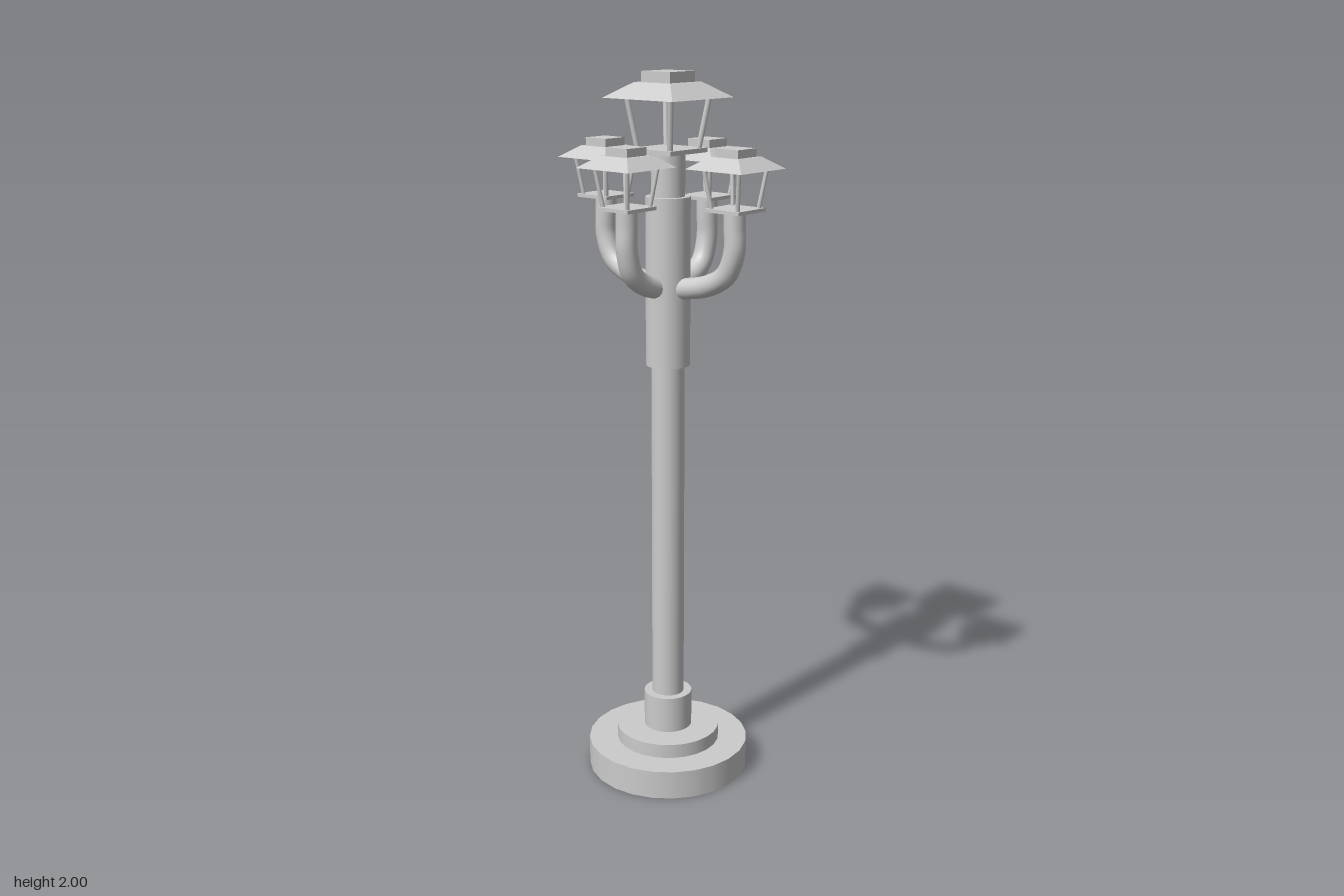
import * as THREE from 'three';

const smooth = new THREE.MeshStandardMaterial({ color: 0xcccccc });
const flat = new THREE.MeshStandardMaterial({ color: 0xcccccc, flatShading: true });

function add(parent, name, geometry, material = smooth) {
  const mesh = new THREE.Mesh(geometry, material);
  mesh.name = name;
  parent.add(mesh);
  return mesh;
}

// Upright cylinder between two heights
function column(parent, name, radius, y0, y1) {
  const mesh = add(parent, name, new THREE.CylinderGeometry(radius, radius, y1 - y0, 24));
  mesh.position.y = (y0 + y1) / 2;
}

// Square block or frustum given by its bottom and top widths
function squareBlock(parent, name, bottom, top, y0, y1) {
  const geometry = new THREE.CylinderGeometry(top * Math.SQRT1_2, bottom * Math.SQRT1_2, y1 - y0, 4);
  geometry.rotateY(Math.PI / 4);
  add(parent, name, geometry, flat).position.y = (y0 + y1) / 2;
}

// Open lantern standing on its own origin
function createLantern(name) {
  const lantern = new THREE.Group();
  lantern.name = name;
  squareBlock(lantern, 'lanternFloor', 0.148, 0.148, 0, 0.012);
  squareBlock(lantern, 'lanternRoof', 0.245, 0.126, 0.142, 0.182);
  squareBlock(lantern, 'lanternCap', 0.1, 0.1, 0.182, 0.21);

  // Four corner posts leaning outwards
  for (const sx of [-1, 1]) {
    for (const sz of [-1, 1]) {
      const foot = new THREE.Vector3(sx * 0.057, 0.006, sz * 0.057);
      const head = new THREE.Vector3(sx * 0.077, 0.146, sz * 0.077);
      const path = new THREE.LineCurve3(foot, head);
      add(lantern, 'lanternPost', new THREE.TubeGeometry(path, 1, 0.0075, 8));
    }
  }
  return lantern;
}

// Curved arm reaching along +x with a small lantern on its end
function createArm(name, reach) {
  const arm = new THREE.Group();
  arm.name = name;
  const points = [[0.03, 1.428], [0.3 * reach, 1.433], [0.62 * reach, 1.45], [0.88 * reach, 1.485],
    [reach, 1.55], [reach, 1.61], [reach, 1.658]];
  const path = new THREE.CatmullRomCurve3(points.map(([x, y]) => new THREE.Vector3(x, y, 0)));
  add(arm, 'armTube', new THREE.TubeGeometry(path, 24, 0.029, 16));

  const lantern = createLantern('sideLantern');
  lantern.position.set(reach, 1.654, 0);
  lantern.scale.set(0.75, 0.77, 0.75);
  arm.add(lantern);
  return arm;
}

export function createModel() {
  const model = new THREE.Group();
  model.name = 'streetLamp';

  // Stepped foot and post
  column(model, 'base', 0.232, 0, 0.083);
  column(model, 'baseStep', 0.149, 0.083, 0.124);
  column(model, 'collar', 0.069, 0.124, 0.23);
  column(model, 'pole', 0.046, 0.23, 1.792);
  column(model, 'sleeve', 0.061, 1.213, 1.675);

  // Four arms, longer to the sides than to the front and back
  ['leftArm', 'backArm', 'rightArm', 'frontArm'].forEach((name, i) => {
    const arm = createArm(name, i % 2 ? 0.163 : 0.23);
    arm.rotation.y = i * Math.PI / 2;
    model.add(arm);
  });

  // Large lantern on top
  const topLantern = createLantern('topLantern');
  topLantern.position.y = 1.79;
  model.add(topLantern);
  return model;
}
